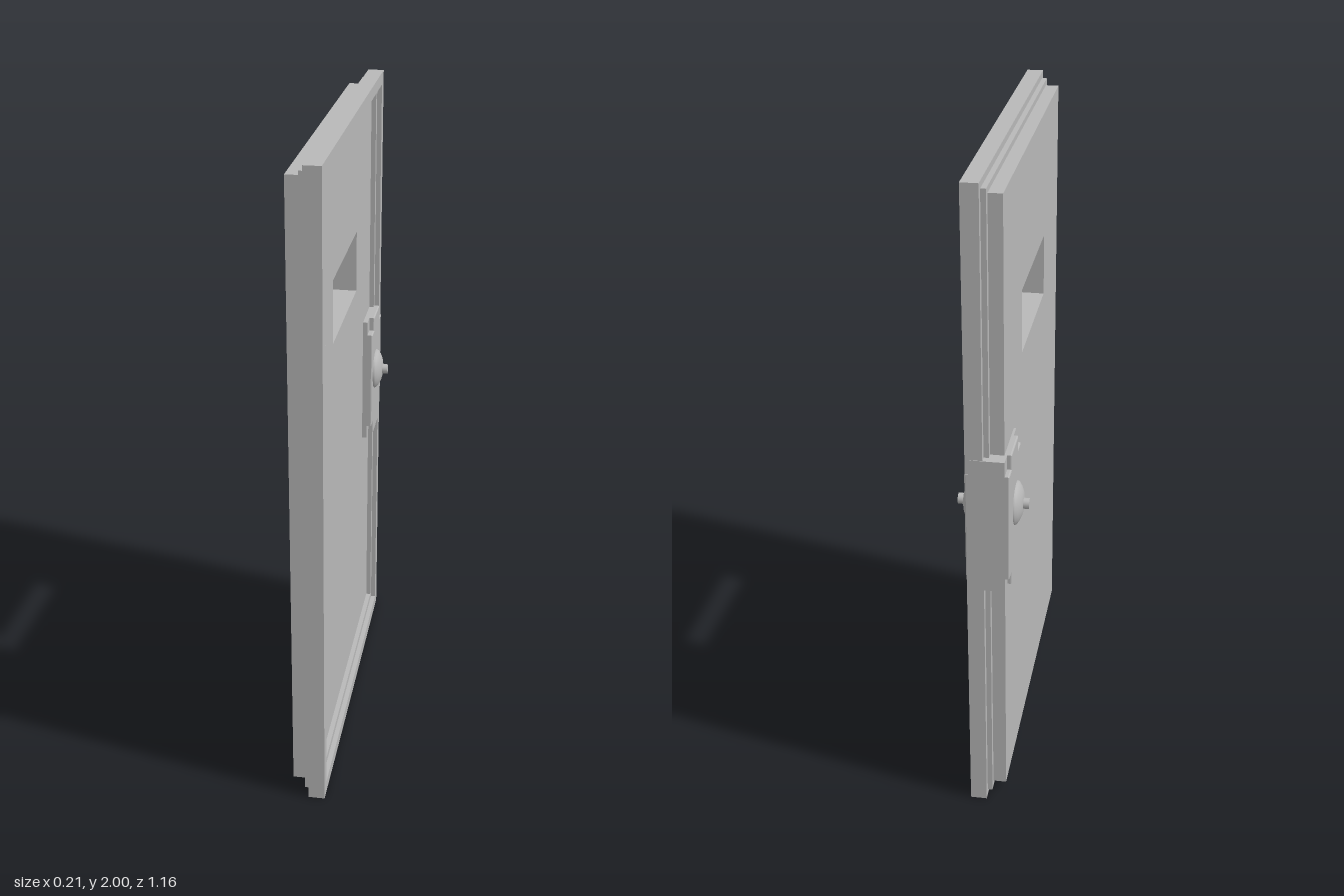
import * as THREE from 'three';

const steel = new THREE.MeshStandardMaterial({ color: 0xb8b8b8 });
steel.name = 'greySteel';

// Rectangle in the door plane: u runs towards -z, y is up
function rect(PathType, u0, u1, y0, y1) {
  const p = new PathType();
  p.moveTo(u0, y0);
  p.lineTo(u1, y0);
  p.lineTo(u1, y1);
  p.lineTo(u0, y1);
  p.closePath();
  return p;
}

// Extrudes a door-plane shape from x0 to x1
function slab(name, shape, x0, x1, bevel = 0) {
  const geo = new THREE.ExtrudeGeometry(shape, {
    depth: x1 - x0 - 2 * bevel, bevelEnabled: bevel > 0, bevelThickness: bevel,
    bevelSize: bevel, bevelOffset: -bevel, bevelSegments: 2,
  });
  geo.translate(0, 0, x0 + bevel);
  geo.rotateY(Math.PI / 2);
  const mesh = new THREE.Mesh(geo, steel);
  mesh.name = name;
  return mesh;
}

// Rectangular ring, inset by o outside and by i inside
function ring(name, o, i, x0, x1) {
  const s = rect(THREE.Shape, -0.577 + o, 0.577 - o, o, 2 - o);
  s.holes.push(rect(THREE.Path, -0.577 + i, 0.577 - i, i, 2 - i));
  return slab(name, s, x0, x1);
}

export function createModel() {
  const door = new THREE.Group();
  door.name = 'door';

  // Main leaf with the viewing slot
  const leaf = rect(THREE.Shape, -0.537, 0.537, 0.04, 1.963);
  leaf.holes.push(rect(THREE.Path, -0.233, 0.217, 1.378, 1.573));
  door.add(slab('leaf', leaf, -0.045, 0.03));

  // Stepped border
  door.add(ring('flange', 0.02, 0.06, -0.005, 0.012));
  door.add(ring('rim', 0, 0.038, 0.01, 0.06));
  door.add(ring('innerStep', 0.03, 0.06, 0.01, 0.045));

  // Hinge ramps falling from the rim to the leaf
  for (const y of [0.567, 1.428]) {
    const s = new THREE.Shape();
    s.moveTo(0.02, -0.545);
    s.lineTo(0.06, -0.545);
    s.lineTo(0.06, -0.535);
    s.lineTo(0.03, -0.42);
    s.lineTo(0.02, -0.42);
    s.closePath();
    const geo = new THREE.ExtrudeGeometry(s, { depth: 0.14, bevelEnabled: false });
    geo.rotateX(-Math.PI / 2);
    const ramp = new THREE.Mesh(geo, steel);
    ramp.position.y = y - 0.07;
    ramp.name = 'hingeRamp';
    door.add(ramp);
  }

  // Lock case: a cross-shaped block with lower corner pads
  const lock = new THREE.Group();
  lock.name = 'lock';
  const [u0, u1, y0, y1, n] = [0.37, 0.579, 0.785, 1.21, 0.045];
  const cross = new THREE.Shape([
    [u0 + n, y0], [u1 - n, y0], [u1 - n, y0 + n], [u1, y0 + n], [u1, y1 - n], [u1 - n, y1 - n],
    [u1 - n, y1], [u0 + n, y1], [u0 + n, y1 - n], [u0, y1 - n], [u0, y0 + n], [u0 + n, y0 + n],
  ].map(([u, y]) => new THREE.Vector2(u, y)));
  lock.add(slab('lockCase', cross, -0.065, 0.062, 0.004));
  for (const u of [u0, u1 - n]) {
    for (const y of [y0, y1 - n]) {
      const pad = rect(THREE.Shape, u, u + n, y, y + n);
      lock.add(slab('cornerPad', pad, -0.052, 0.045));
    }
  }
  door.add(lock);

  // Domed knobs with a short spindle, one on each face
  const profile = [
    [0.066, 0.04], [0.066, 0.064], [0.062, 0.07], [0.052, 0.077],
    [0.038, 0.083], [0.026, 0.086], [0.016, 0.087],
  ].map(([r, h]) => new THREE.Vector2(r, h));
  for (const side of [1, -1]) {
    const knob = new THREE.Group();
    knob.name = 'knob';
    const dome = new THREE.Mesh(new THREE.LatheGeometry(profile, 32), steel);
    dome.name = 'knobDome';
    const spindle = new THREE.Mesh(new THREE.CylinderGeometry(0.016, 0.016, 0.04, 20), steel);
    spindle.position.y = 0.084;
    spindle.name = 'knobSpindle';
    knob.add(dome, spindle);
    knob.rotation.z = -side * Math.PI / 2;
    knob.position.set(0, 1.012, -0.453);
    door.add(knob);
  }
  return door;
}
